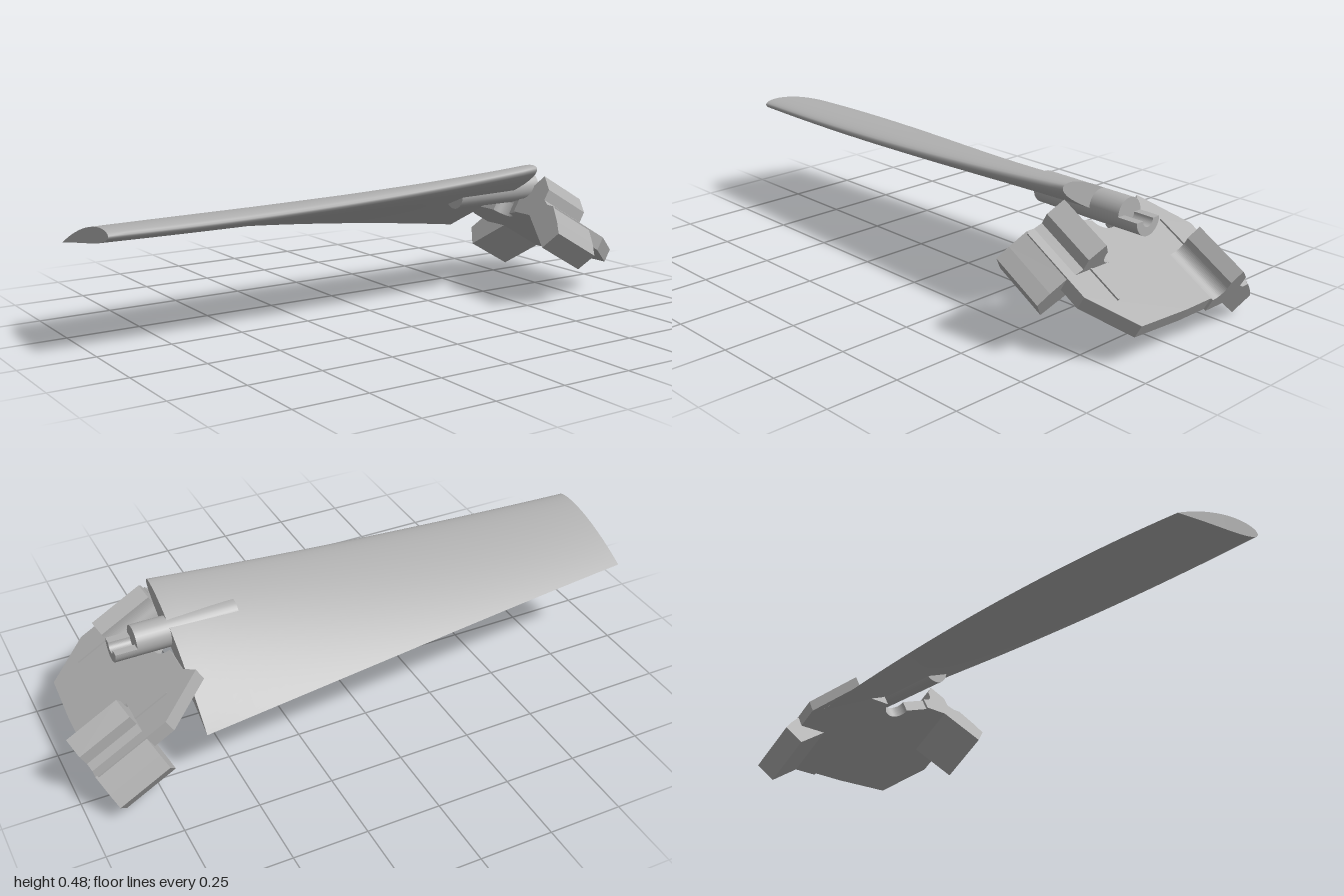
import * as THREE from 'three';

const grey = new THREE.MeshStandardMaterial({ color: 0xb0b0b0 });
grey.name = 'grey';

function add(parent, name, geometry) {
  const mesh = new THREE.Mesh(geometry, grey);
  mesh.name = name;
  parent.add(mesh);
  return mesh;
}

const extrude = (shape, depth) =>
  new THREE.ExtrudeGeometry(shape, { depth, bevelEnabled: false, curveSegments: 16 });

// Twisted, tapered aerofoil blade running along x
function bladeGeometry() {
  const half = 20, n = half * 2, rows = 28;
  const pos = [], idx = [];
  for (let i = 0; i <= rows; i++) {
    const t = i / rows, x = -1 + 1.595 * t;
    const noseZ = 0.13 + 0.043 * t * (1.6 - 0.6 * t), noseY = 0.4 + 0.073 * t * t;
    const tailZ = -0.25 - 0.16 * t + 0.085 * t * t, tailY = 0.315 - 0.125 * t ** 1.7;
    const dz = tailZ - noseZ, dy = tailY - noseY;
    for (let j = 0; j <= n; j++) {
      const a = (j / n) * Math.PI * 2;
      const s = (1 + Math.cos(a)) / 2;
      const thick = 0.65 * (0.2969 * Math.sqrt(s) - 0.126 * s - 0.3516 * s * s
        + 0.2843 * s ** 3 - 0.1036 * s ** 4);
      const h = 0.12 * s * (1 - s) + (j <= half ? thick : -thick);
      pos.push(x, noseY + dy * s - dz * h, noseZ + dz * s + dy * h);
    }
  }
  const w = n + 1;
  for (let i = 0; i < rows; i++) {
    for (let j = 0; j < n; j++) {
      const a = i * w + j, b = a + w;
      idx.push(a, a + 1, b, a + 1, b + 1, b);
    }
  }
  // End caps use their own vertices so the rims stay sharp
  for (const [row, flip] of [[0, true], [rows, false]]) {
    const base = pos.length / 3;
    pos.push(...pos.slice(row * w * 3, (row + 1) * w * 3));
    for (let j = 0; j < half; j++) {
      const [a, b, c, d] = [j, j + 1, n - j - 1, n - j].map((k) => base + k);
      if (flip) idx.push(a, c, b, a, d, c);
      else idx.push(a, b, c, a, c, d);
    }
  }
  const g = new THREE.BufferGeometry();
  g.setAttribute('position', new THREE.Float32BufferAttribute(pos, 3));
  g.setIndex(idx);
  g.computeVertexNormals();
  return g;
}

// Flat carrier plate with a rounded slot for the shaft
function plateGeometry() {
  const s = new THREE.Shape();
  s.moveTo(-0.215, 0.2);
  s.lineTo(-0.05, 0.3);
  s.lineTo(0.215, 0.3);
  s.lineTo(0.215, 0);
  s.lineTo(0.205, -0.2);
  s.lineTo(0.05, -0.3);
  s.lineTo(-0.215, -0.3);
  s.lineTo(-0.215, -0.115);
  s.lineTo(-0.18, -0.045);
  s.absarc(-0.18, 0, 0.045, -Math.PI / 2, Math.PI / 2, false);
  s.lineTo(-0.18, 0.155);
  const g = extrude(s, 0.05);
  g.rotateX(-Math.PI / 2);
  g.translate(0, -0.02, 0);
  return g;
}

// Stepped jaw with a hooked inner side and a slanted lower foot
function jawGeometry() {
  const s = new THREE.Shape();
  s.moveTo(-0.115, -0.02);
  s.lineTo(-0.2, -0.02);
  s.lineTo(-0.33, -0.122);
  s.lineTo(-0.377, -0.06);
  s.lineTo(-0.345, -0.02);
  s.lineTo(-0.295, 0.03);
  s.lineTo(-0.265, 0.03);
  s.lineTo(-0.24, 0.045);
  s.lineTo(-0.24, 0.085);
  s.lineTo(-0.19, 0.13);
  s.lineTo(-0.16, 0.09);
  s.quadraticCurveTo(-0.165, 0.035, -0.115, 0.03);
  const g = extrude(s, 0.196);
  g.rotateY(Math.PI / 2);
  g.translate(-0.223, 0, 0);
  return g;
}

export function createModel() {
  const model = new THREE.Group();
  model.name = 'bladeAssembly';
  add(model, 'blade', bladeGeometry());

  // Shaft with a cut-back end
  const shaft = new THREE.Group();
  shaft.name = 'shaft';
  shaft.position.set(0, 0.377, 0);
  model.add(shaft);
  const rod = new THREE.CylinderGeometry(0.052, 0.052, 0.35, 32);
  rod.rotateZ(Math.PI / 2);
  add(shaft, 'shaftRod', rod).position.x = 0.535;
  const lip = new THREE.Shape();
  lip.absarc(0, 0, 0.052, Math.PI, Math.PI * 2, false);
  lip.absarc(0, 0, 0.023, Math.PI * 2, Math.PI, true);
  const lipGeometry = extrude(lip, 0.075);
  lipGeometry.rotateY(Math.PI / 2);
  add(shaft, 'shaftLip', lipGeometry).position.x = 0.708;

  // Tilted carrier with two jaws placed half a turn apart
  const carrier = new THREE.Group();
  carrier.name = 'carrier';
  carrier.position.set(0.745, 0.22, 0);
  carrier.rotation.z = -Math.PI / 6;
  model.add(carrier);
  add(carrier, 'carrierPlate', plateGeometry());
  const jaw = jawGeometry();
  for (const [side, turn] of [['front', 0], ['back', Math.PI]]) {
    const arm = new THREE.Group();
    arm.name = side + 'Arm';
    arm.rotation.y = turn;
    carrier.add(arm);
    add(arm, side + 'Jaw', jaw);
    add(arm, side + 'Rib', new THREE.BoxGeometry(0.13, 0.006, 0.007)).position.set(0.035, 0.033, 0.2);
  }
  return model;
}
